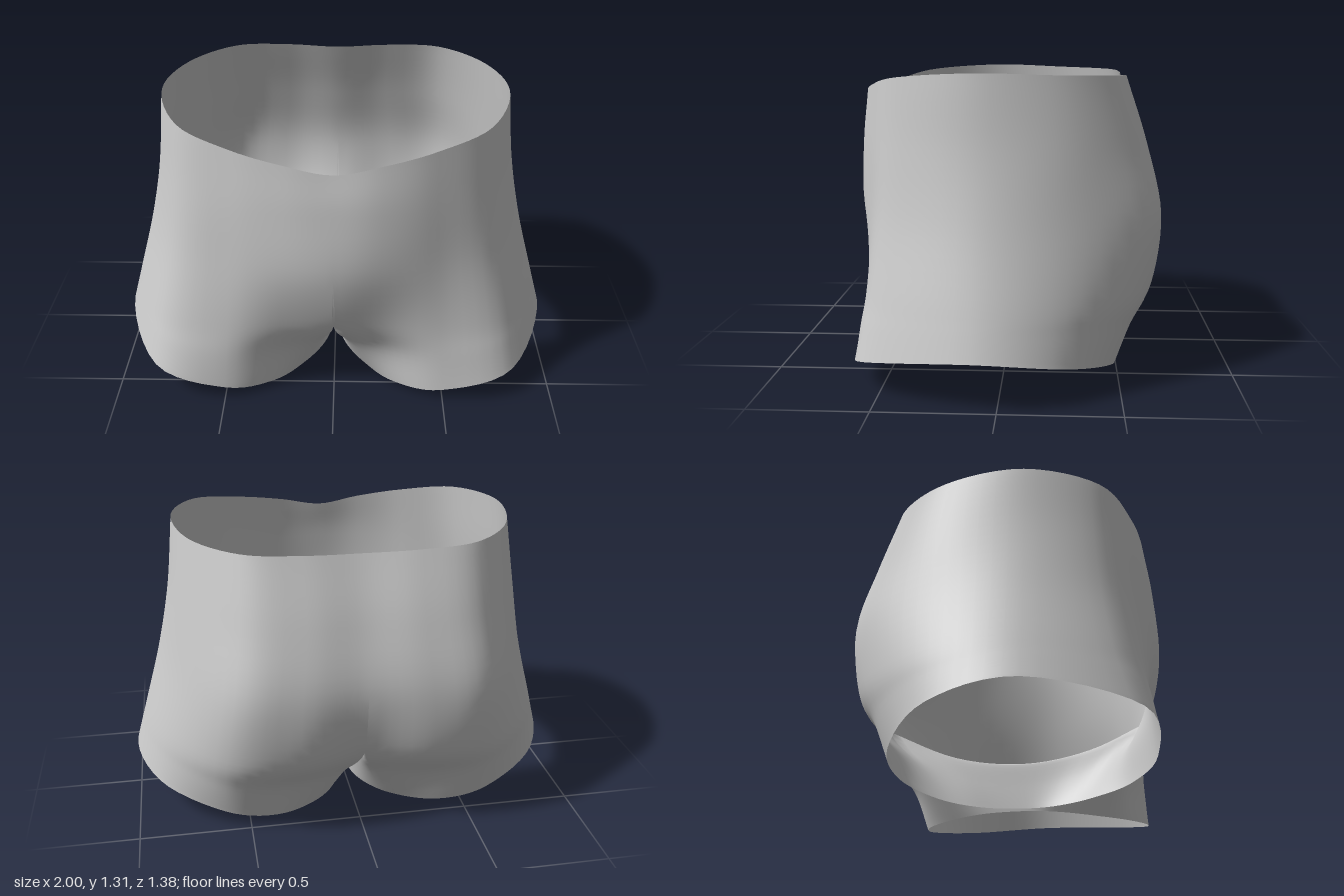
import * as THREE from 'three';
import { mergeVertices } from 'three/addons/utils/BufferGeometryUtils.js';

// Plan outlines [x, z] of the left half, each with a rule for its height.
// The first nine points run from front centre round the side to back centre;
// the last three run forward again along the crotch seam or inner thigh.
const SECTIONS = [
  { // waist edge, dipping at front centre
    height: (x, z) => z > 0 ? 1.18 + .176 * x : 1.285 + .028 * x,
    plan: [[0, .645], [.2, .635], [.42, .575], [.65, .43], [.765, .1],
      [.7, -.25], [.5, -.485], [.25, -.528], [0, -.515]],
  },
  { // upper hip
    height: () => 1,
    plan: [[0, .675], [.2, .66], [.43, .59], [.68, .44], [.8, .1],
      [.74, -.28], [.52, -.57], [.25, -.625], [0, -.61]],
  },
  { // fullest hip
    height: () => .7,
    plan: [[0, .688], [.2, .665], [.45, .592], [.72, .46], [.86, .1],
      [.79, -.28], [.56, -.63], [.28, -.687], [0, -.668]],
  },
  { // where the legs part, the seam arching under the crotch
    height: (x, z) => x > 0 ? .4 : .22 + .5 * z * z,
    plan: [[0, .61], [.2, .6], [.47, .6], [.78, .5], [.943, .1],
      [.86, -.27], [.6, -.585], [.3, -.655], [0, -.6],
      [0, -.28], [0, .04], [0, .34]],
  },
  { // leg hem, rising to the outside
    height: (x, z) => (z > 0 ? .2 : .185) * x ** 1.75,
    plan: [[.14, .36], [.28, .52], [.5, .62], [.82, .56], [1, .1],
      [.9, -.27], [.62, -.465], [.38, -.465], [.17, -.33],
      [.05, -.15], [.02, .05], [.05, .2]],
  },
];

const OUTER = 8, INNER = 4, SPLIT = 3, STEPS = 6;
const mirror = p => new THREE.Vector3(-p.x, p.y, p.z);
const beyond = (a, b) => a.clone().multiplyScalar(2).sub(b);

// Rows of points from waist to hem, with the upper leg halfway down the leg
function createRows() {
  const rows = SECTIONS.map(({ height, plan }) =>
    plan.map(([x, z]) => new THREE.Vector3(x, height(x, z), z)));
  const hem = rows.pop();
  const upperLeg = rows[SPLIT].map((p, i) => p.clone().lerp(hem[i], .5));
  for (const p of upperLeg) if (p.x < .4) p.z *= .95;
  return [...rows, upperLeg, hem];
}

// Catmull-Rom point between b and c
function spline(a, b, c, d, t) {
  const f = k => {
    const m0 = (c[k] - a[k]) / 2, m1 = (d[k] - b[k]) / 2, e = b[k] - c[k];
    return ((2 * e + m0 + m1) * t - 3 * e - 2 * m0 - m1) * t * t + m0 * t + b[k];
  };
  return new THREE.Vector3(f('x'), f('y'), f('z'));
}

// Samples a padded list of points; the first and last only steer the ends
function sample(padded) {
  const out = [];
  for (let i = 1; i < padded.length - 2; i++)
    for (let s = 0; s < STEPS; s++)
      out.push(spline(padded[i - 1], padded[i], padded[i + 1], padded[i + 2], s / STEPS));
  out.push(padded[padded.length - 2].clone());
  return out;
}

// Outer part of a row, front centre to back centre
function outerRow(row, r) {
  const p = row.slice(0, OUTER + 1);
  return r <= SPLIT
    ? sample([mirror(p[1]), ...p, mirror(p[OUTER - 1])])
    : sample([row[row.length - 1], ...p, row[OUTER + 1]]);
}

// Inner part of a row, back centre to front centre
function innerRow(row, r) {
  const p = [...row.slice(OUTER), row[0]];
  return r === SPLIT
    ? sample([beyond(p[0], p[1]), ...p, beyond(p[INNER], p[INNER - 1])])
    : sample([row[OUTER - 1], ...p, row[1]]);
}

function createGarmentGeometry() {
  const rows = createRows();
  const outer = rows.map(outerRow);
  const inner = rows.slice(SPLIT).map((row, i) => innerRow(row, i + SPLIT));

  // Vertical columns over hip and outer leg
  const outerCols = outer[0].map((_, u) => {
    const p = outer.map(row => row[u]);
    return sample([beyond(p[0], p[1]), ...p, beyond(p[5], p[4])]);
  });

  // Columns from the crotch seam down the inner thigh; the tangent crosses
  // the seam symmetrically and eases into the centre lines at either end
  const n = INNER * STEPS;
  const innerCols = inner[0].map((_, u) => {
    const p = inner.map(row => row[u]);
    const end = outer[SPLIT - 1][u < n / 2 ? OUTER * STEPS : 0];
    const w = 1 - THREE.MathUtils.smoothstep(Math.min(u, n - u) / n, 0, .25);
    return sample([mirror(p[1]).lerp(end, w), ...p, beyond(p[2], p[1])]);
  });

  // Quads of both patches, together with their mirror images
  const pos = [];
  const tri = (a, b, c) => {
    for (const p of [a, b, c]) pos.push(p.x, p.y, p.z);
    for (const p of [a, c, b]) pos.push(-p.x, p.y, p.z);
  };
  for (const cols of [outerCols, innerCols])
    for (let u = 0; u < cols.length - 1; u++)
      for (let v = 0; v < cols[u].length - 1; v++) {
        const a = cols[u][v], b = cols[u][v + 1], c = cols[u + 1][v + 1], d = cols[u + 1][v];
        tri(a, b, c);
        tri(a, c, d);
      }

  const raw = new THREE.BufferGeometry();
  raw.setAttribute('position', new THREE.Float32BufferAttribute(pos, 3));
  const geometry = mergeVertices(raw, 1e-5);
  geometry.computeVertexNormals();
  return geometry;
}

export function createModel() {
  const group = new THREE.Group();
  group.name = 'shorts';
  const material = new THREE.MeshStandardMaterial({ color: 0xcccccc, side: THREE.DoubleSide });
  const fabric = new THREE.Mesh(createGarmentGeometry(), material);
  fabric.name = 'fabric';
  group.add(fabric);
  return group;
}
